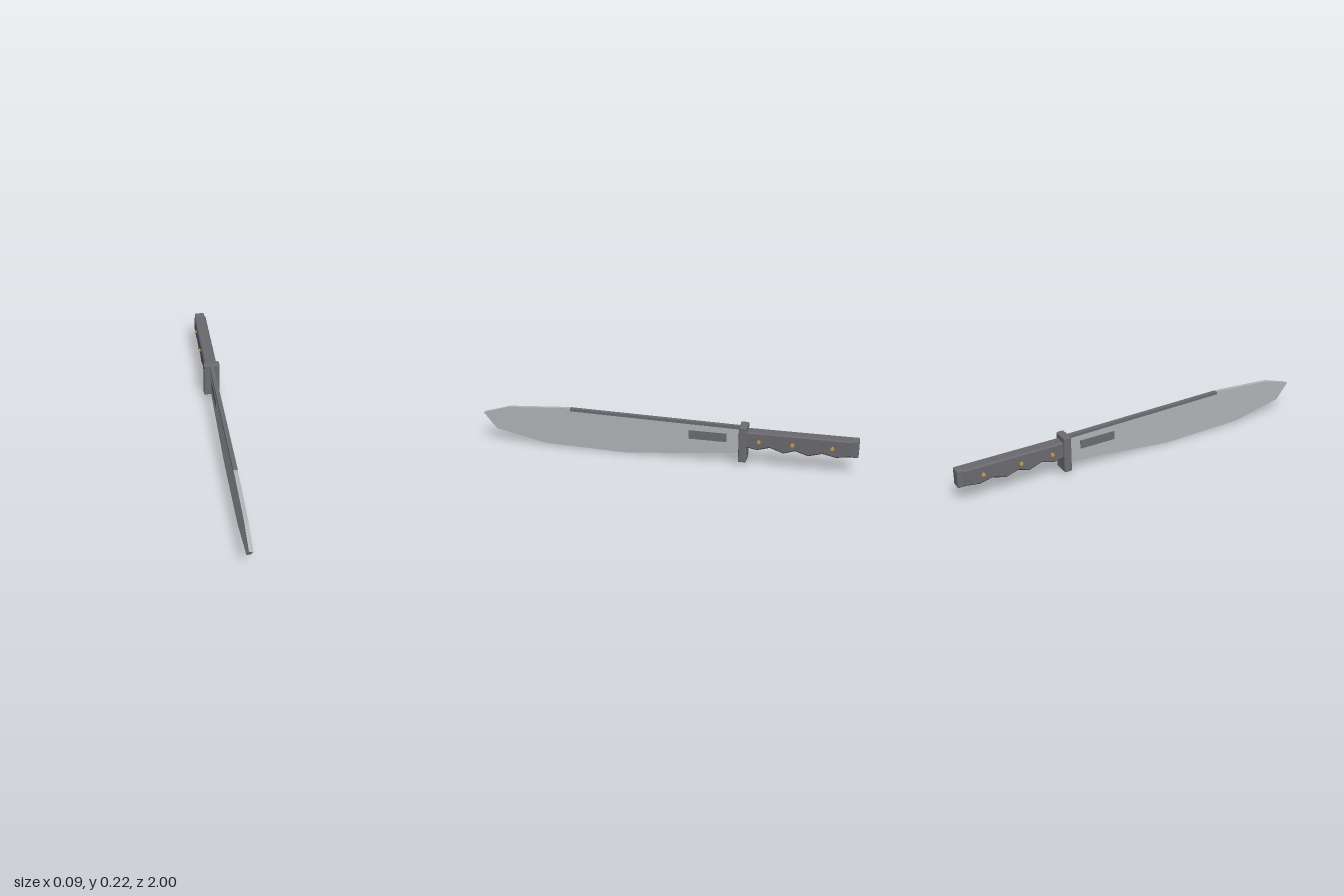
import * as THREE from 'three';
import { RoundedBoxGeometry } from 'three/addons/geometries/RoundedBoxGeometry.js';

const material = (name, color) => {
  const m = new THREE.MeshStandardMaterial({ color });
  m.name = name;
  return m;
};

// Side profile given as [z, y] points, extruded symmetrically across x
function profile(points, halfWidth, bevel = 0) {
  const shape = new THREE.Shape(points.map(([z, y]) => new THREE.Vector2(z, y)));
  const depth = 2 * (halfWidth - bevel);
  const geometry = new THREE.ExtrudeGeometry(shape, {
    depth, bevelEnabled: bevel > 0, bevelThickness: bevel,
    bevelSize: bevel, bevelOffset: -bevel, bevelSegments: 1,
  });
  return geometry.translate(0, 0, -depth / 2).rotateY(-Math.PI / 2);
}

// Box with chamfered edges and flat faces
function chamferBox(w, h, d, bevel) {
  const geometry = new RoundedBoxGeometry(w, h, d, 1, bevel);
  geometry.computeVertexNormals();
  return geometry;
}

export function createModel() {
  const model = new THREE.Group();
  const steel = material('steel', 0xb2b4b8);
  const darkSteel = material('dark steel', 0x6b6d71);
  const gripGrey = material('grip grey', 0x69696f);
  const brass = material('brass', 0xc9a23a);

  const add = (name, geometry, mat, x = 0, y = 0, z = 0) => {
    const mesh = new THREE.Mesh(geometry, mat);
    mesh.name = name;
    mesh.position.set(x, y, z);
    model.add(mesh);
  };

  // Blade
  add('blade', profile([
    [-0.41, 0.06], [0.2, 0], [0.65, 0.01], [0.93, 0.07],
    [1, 0.155], [0.85, 0.2], [0.53, 0.222], [-0.41, 0.207],
  ], 0.01), steel);

  // Dark band along the back of the blade
  add('spine', profile([
    [-0.41, 0.191], [0.51, 0.207], [0.51, 0.2223], [-0.41, 0.2078],
  ], 0.011), darkSteel);

  // Thin recessed-looking panel on each side
  for (const side of [-1, 1]) {
    add('bladePanel', new THREE.BoxGeometry(0.002, 0.047, 0.2), darkSteel, side * 0.01, 0.138, -0.23);
  }

  // Guard, grip and pommel
  add('guard', chamferBox(0.087, 0.195, 0.042, 0.007), darkSteel, 0, 0.12, -0.417);
  add('grip', profile([
    [-0.43, 0.19], [-0.97, 0.19], [-0.97, 0.104], [-0.89, 0.092], [-0.82, 0.106],
    [-0.75, 0.086], [-0.685, 0.107], [-0.625, 0.088], [-0.555, 0.112], [-0.49, 0.093], [-0.43, 0.104],
  ], 0.033, 0.007), gripGrey);
  add('pommel', chamferBox(0.054, 0.094, 0.04, 0.007), darkSteel, 0, 0.146, -0.98);

  // Rivets passing through the grip
  for (const z of [-0.5, -0.67, -0.87]) {
    add('rivet', new THREE.CylinderGeometry(0.01, 0.01, 0.08, 8).rotateZ(Math.PI / 2), brass, 0, 0.142, z);
  }
  return model;
}
